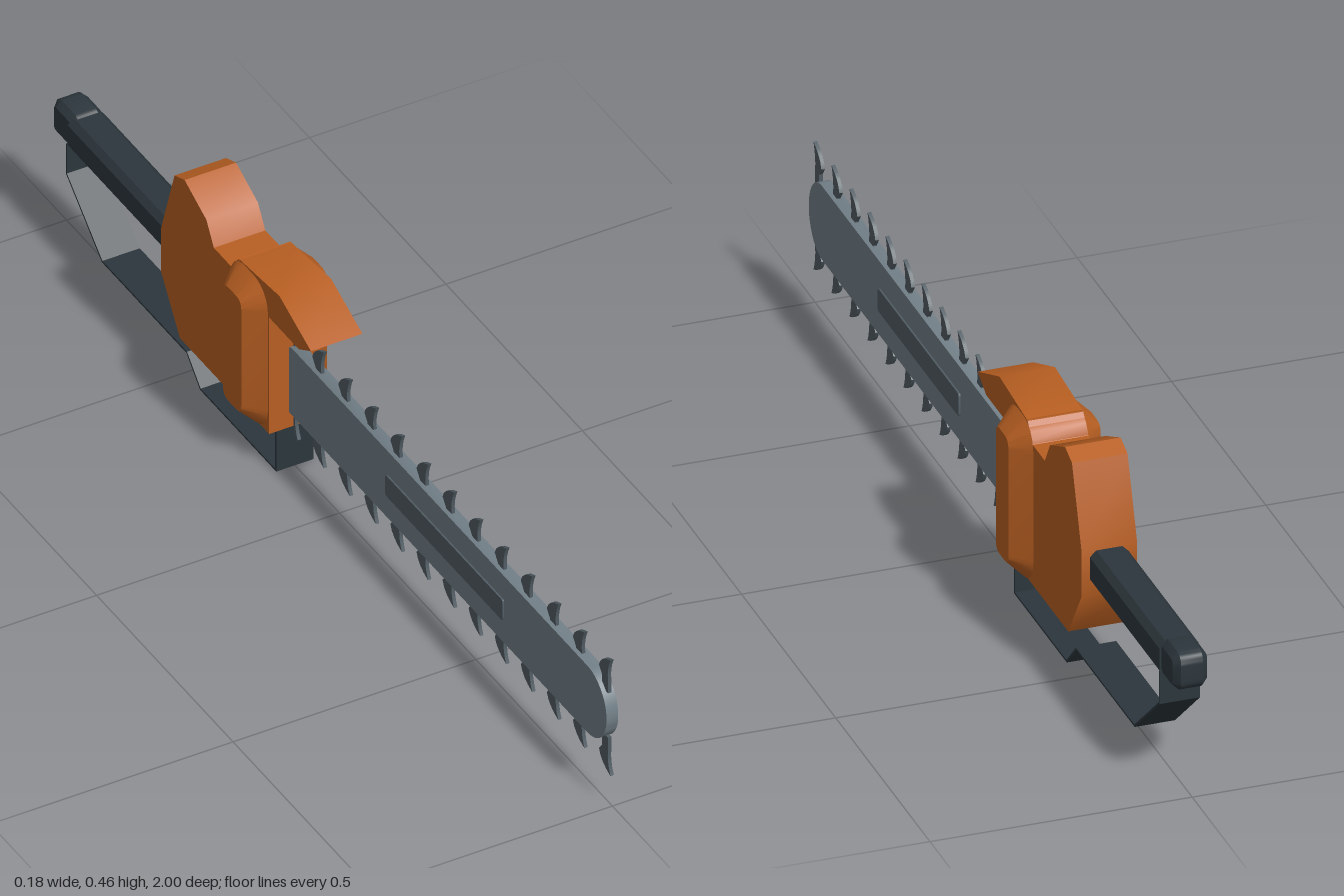
import * as THREE from 'three';
import { toCreasedNormals } from 'three/addons/utils/BufferGeometryUtils.js';

const material = (name, color) => {
  const m = new THREE.MeshStandardMaterial({ color });
  m.name = name;
  return m;
};

// Polygon from [z, y] points
const polygon = (pts) => new THREE.Shape(pts.map(([z, y]) => new THREE.Vector2(z, y)));

// Rectangle with rounded corners in the z-y plane
function roundedRect(z0, z1, y0, y1, r) {
  const s = new THREE.Shape();
  s.moveTo(z0 + r, y0).lineTo(z1 - r, y0);
  s.quadraticCurveTo(z1, y0, z1, y0 + r).lineTo(z1, y1 - r);
  s.quadraticCurveTo(z1, y1, z1 - r, y1).lineTo(z0 + r, y1);
  s.quadraticCurveTo(z0, y1, z0, y1 - r).lineTo(z0, y0 + r);
  s.quadraticCurveTo(z0, y0, z0 + r, y0);
  return s;
}

// Side profile extruded across x, centred, with an optional straight chamfer
function slab(shape, width, bevel = 0, curveSegments = 6) {
  const depth = width - 2 * bevel;
  const geo = new THREE.ExtrudeGeometry(shape, {
    depth, curveSegments,
    bevelEnabled: bevel > 0, bevelSize: bevel, bevelThickness: bevel, bevelSegments: 1,
  });
  geo.translate(0, 0, -depth / 2);
  geo.rotateY(-Math.PI / 2);
  return toCreasedNormals(geo, 0.6);
}

export function createModel() {
  const model = new THREE.Group();
  const orange = material('orange housing', 0xb85f22);
  const steel = material('blade steel', 0x727f87);
  const darkSteel = material('dark steel', 0x505c63);
  const black = material('dark grip', 0x2c363c);

  const add = (name, geo, mat, parent = model) => {
    const mesh = new THREE.Mesh(geo, mat);
    mesh.name = name;
    parent.add(mesh);
    return mesh;
  };

  // Motor housing with the rear hump
  add('housing', slab(polygon([
    [-0.163, 0.09], [-0.163, 0.40], [-0.275, 0.41], [-0.302, 0.375], [-0.366, 0.375],
    [-0.393, 0.42], [-0.473, 0.457], [-0.51, 0.443], [-0.56, 0.29], [-0.56, 0.195], [-0.49, 0.09],
  ]), 0.106), orange);

  // Hand guard jutting forward over the blade
  add('handGuard', slab(polygon([
    [-0.17, 0.352], [-0.055, 0.352], [-0.01, 0.377], [-0.125, 0.425], [-0.27, 0.411], [-0.27, 0.37],
  ]), 0.106), orange);

  // Chamfered covers bulging from both sides
  add('sideCovers', slab(roundedRect(-0.27, -0.203, 0.12, 0.375, 0.02), 0.176, 0.035), orange);

  // Guide bar with a rounded nose
  const bar = new THREE.Shape();
  bar.moveTo(-0.2, 0.124).lineTo(0.93, 0.124);
  bar.absellipse(0.93, 0.199, 0.07, 0.075, -Math.PI / 2, Math.PI / 2, false);
  bar.lineTo(-0.155, 0.274).lineTo(-0.2, 0.25);
  add('guideBar', slab(bar, 0.024, 0, 12), steel);

  // Raised strip on both faces of the bar
  add('barPanel', slab(roundedRect(0.195, 0.625, 0.175, 0.221, 0.006), 0.031), darkSteel);

  // Hooked teeth along both edges of the bar
  const teeth = new THREE.Group();
  teeth.name = 'chainTeeth';
  model.add(teeth);
  for (const side of [1, -1]) {
    const y = (h) => 0.198 + side * h;
    const tooth = new THREE.Shape();
    tooth.moveTo(0.012, y(0.05));
    tooth.lineTo(0.012, y(0.078));
    tooth.quadraticCurveTo(0.008, y(0.104), 0.021, y(0.13));
    tooth.quadraticCurveTo(-0.015, y(0.118), -0.021, y(0.094));
    tooth.lineTo(-0.009, y(0.078));
    tooth.lineTo(-0.009, y(0.05));
    const geo = slab(tooth, 0.007, 0, 4);
    for (let i = 0; i < 13; i++) {
      add('tooth', geo, darkSteel, teeth).position.z = 0.978 - i * 0.0955;
    }
  }

  // Rear grip: bar of octagonal section along z
  const c = 0.012, hw = 0.037, hh = 0.034;
  const section = polygon([
    [-hw, c - hh], [c - hw, -hh], [hw - c, -hh], [hw, c - hh],
    [hw, hh - c], [hw - c, hh], [c - hw, hh], [-hw, hh - c],
  ]);
  const grip = new THREE.ExtrudeGeometry(section, { depth: 0.4, bevelEnabled: false });
  grip.translate(0, 0.251, -0.93);
  add('rearGrip', grip, black);

  // Chamfered cap on the grip's end
  add('gripCap', slab(roundedRect(-0.988, -0.927, 0.227, 0.278, 0.01), 0.066, 0.012), black);

  // Thin bent strap from the housing round to the grip
  const t = 0.004;
  add('handStrap', slab(polygon([
    [-0.163, 0.1], [-0.163, 0], [-0.442, 0], [-0.492, 0.05], [-0.802, 0.05], [-0.934, 0.163], [-0.934, 0.23],
    [-0.934 + t, 0.23], [-0.934 + t, 0.165], [-0.8, 0.05 + t], [-0.49, 0.05 + t], [-0.44, t],
    [-0.163 - t, t], [-0.163 - t, 0.1],
  ]), 0.077), black);

  return model;
}
